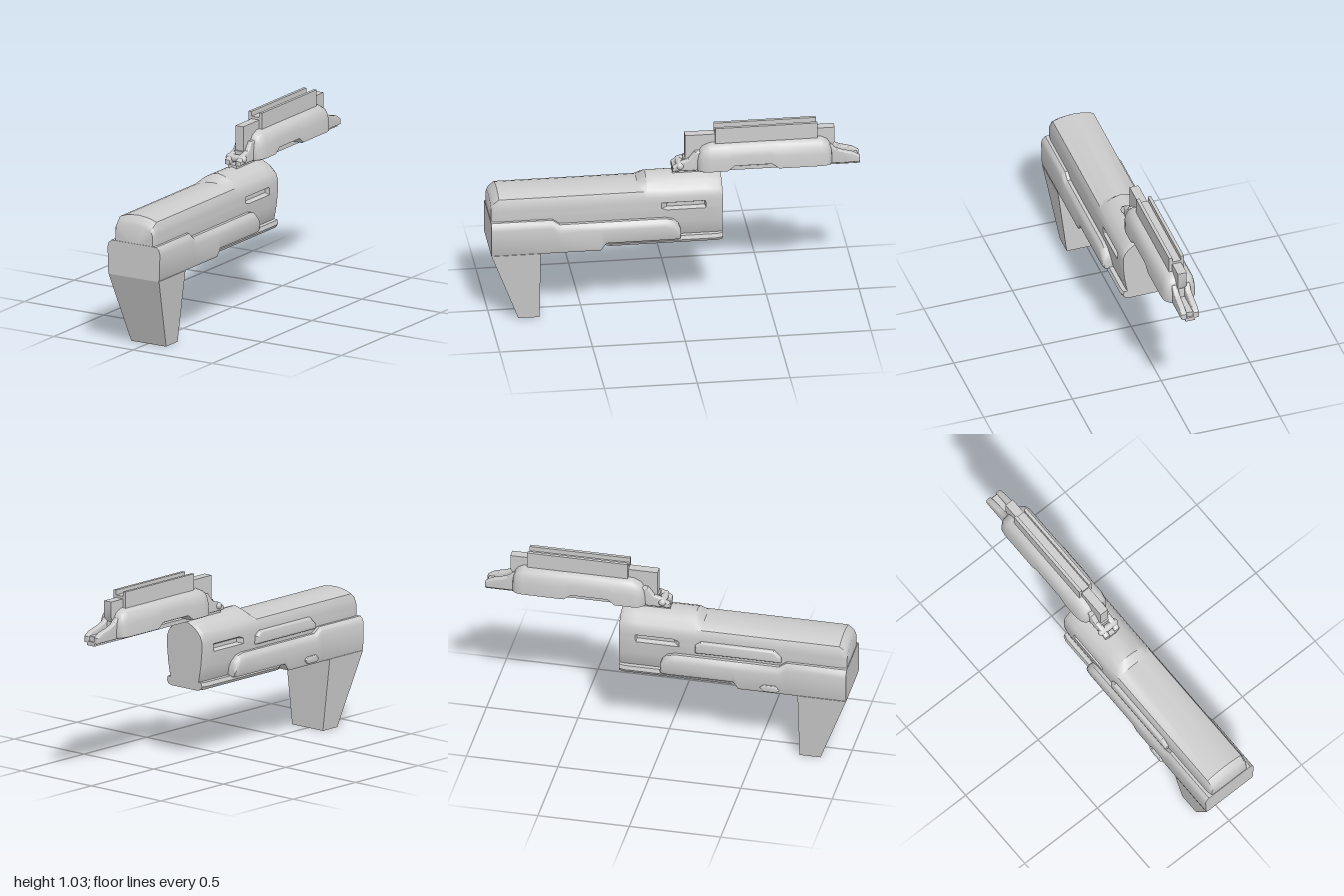
import * as THREE from 'three';
import { toCreasedNormals } from 'three/addons/utils/BufferGeometryUtils.js';

const material = new THREE.MeshStandardMaterial({ color: 0xcccccc });

function part(parent, name, geometry, crease = 0.6) {
  const mesh = new THREE.Mesh(toCreasedNormals(geometry, crease), material);
  mesh.name = name;
  parent.add(mesh);
  return mesh;
}

// Lofts mirrored half sections ([x, y], bottom to top) placed from front to back
function loft(stations) {
  const rings = stations.map(([z, half]) => [
    ...half.map(([x, y]) => [x, y, z]),
    ...half.slice().reverse().map(([x, y]) => [-x, y, z]),
  ]);
  const n = rings[0].length, last = (rings.length - 1) * n;
  const pos = rings.flat(2), index = [];
  for (let i = 0; i < rings.length - 1; i++) {
    for (let j = 0; j < n; j++) {
      const a = i * n + j, b = i * n + (j + 1) % n;
      index.push(a, a + n, b, b, a + n, b + n);
    }
  }
  for (const [start, flip] of [[0, false], [last, true]]) {
    const ring = rings[start / n], ys = ring.map((p) => p[1]);
    const c = pos.length / 3;
    pos.push(0, (Math.min(...ys) + Math.max(...ys)) / 2, ring[0][2]);
    for (let j = 0; j < n; j++) {
      const a = start + j, b = start + (j + 1) % n;
      index.push(c, flip ? b : a, flip ? a : b);
    }
  }
  const g = new THREE.BufferGeometry();
  g.setAttribute('position', new THREE.Float32BufferAttribute(pos, 3));
  g.setIndex(index);
  return g;
}

// Extrudes a side outline ([z, y]) across x, from x0 to x1
function sideExtrude(outline, x0, x1, bevel = 0) {
  const shape = new THREE.Shape(outline.map(([z, y]) => new THREE.Vector2(-z, y)));
  const g = new THREE.ExtrudeGeometry(shape, {
    depth: x1 - x0 - 2 * bevel, bevelEnabled: bevel > 0, bevelSize: bevel,
    bevelThickness: bevel, bevelOffset: -bevel, bevelSegments: 3,
  });
  return g.rotateY(Math.PI / 2).translate(x0 + bevel, 0, 0);
}

function box(x0, x1, y0, y1, z0, z1) {
  return new THREE.BoxGeometry(x1 - x0, y1 - y0, z1 - z0)
    .translate((x0 + x1) / 2, (y0 + y1) / 2, (z0 + z1) / 2);
}

function createBody(parent) {
  // rise: 0 = flat front top, 1 = domed rear top; groove: depth of side slot
  const section = (w, rise, drop = 0, groove = 0) => {
    const mix = (a, b) => a + (b - a) * rise - drop;
    return [
      [0.09 * w, 0.43], [0.105 * w, 0.45], [0.12 * w, 0.53], [0.128 * w, 0.605],
      [0.128 * w - groove, 0.615], [0.128 * w - groove, 0.635], [0.128 * w, 0.648],
      [0.128 * w, 0.68 - drop * 0.8], [0.115 * w, mix(0.715, 0.715)],
      [0.08 * w, mix(0.728, 0.75)], [0.04 * w, mix(0.735, 0.77)], [0.002, mix(0.738, 0.78)],
    ];
  };
  part(parent, 'body', loft([
    [0.997, section(0.92, 0, 0.045)], [0.985, section(0.97, 0, 0.025)],
    [0.955, section(1, 0)], [0.2, section(1, 0)], [0.155, section(1, 1)],
    [0.08, section(1, 1)], [0.05, section(1, 1, 0, 0.025)],
    [-0.155, section(1, 1, 0, 0.025)], [-0.16, section(1, 1)],
    [-0.23, section(1, 1)], [-0.25, section(0.97, 1, 0.012)],
  ]));
  part(parent, 'sidePanel', sideExtrude(
    [[0.64, 0.585], [0.64, 0.615], [0.6, 0.655], [0.2, 0.655], [0.17, 0.63], [0.17, 0.585]],
    -0.15, -0.1, 0.014));
}

function createFrame(parent) {
  const section = (top, bottom, w = 1) => [
    [0.155 * w, bottom], [0.161 * w, bottom + 0.012], [0.165 * w, top - 0.04],
    [0.159 * w, top - 0.016], [0.142 * w, top],
  ];
  part(parent, 'frame', loft([
    [1, section(0.59, 0.4)], [0.67, section(0.59, 0.4)], [0.63, section(0.56, 0.4)],
    [0.41, section(0.56, 0.4)], [0.38, section(0.56, 0.44)], [0.06, section(0.56, 0.44)],
    [0.02, section(0.55, 0.44)], [-0.01, section(0.522, 0.44, 0.98)],
    [-0.02, section(0.495, 0.44, 0.94)],
  ]));

  // Grip narrows toward its foot
  const grip = sideExtrude([[1, 0.402], [0.85, 0], [0.735, 0], [0.735, 0.402]], -1, 1);
  const p = grip.attributes.position;
  for (let i = 0; i < p.count; i++) p.setX(i, p.getX(i) * (0.11 + p.getY(i) * 0.123));
  part(parent, 'grip', grip);

  // Plate under the frame, with a slanted nose
  const plate = (w, bottom = 0.4) => [
    [0.1 * w, bottom], [0.125 * w, bottom + 0.008], [0.135 * w, 0.425], [0.128 * w, 0.447],
  ];
  part(parent, 'bottomPlate', loft([
    [0.41, plate(0.75)], [0.36, plate(1)], [-0.22, plate(1)], [-0.25, plate(0.93)],
  ]));
  part(parent, 'button', sideExtrude(
    [[0.635, 0.425], [0.615, 0.45], [0.55, 0.45], [0.53, 0.435], [0.55, 0.412], [0.62, 0.412]],
    -0.174, -0.14, 0.006));
}

function createUpperUnit(parent) {
  // Rounded housing with a shallow cut along the lower edge
  const section = (w, top, bottom = 0.79) => {
    const y = (t) => bottom + (top - bottom) * t;
    return [
      [0.08 * w, bottom], [0.092 * w, bottom + 0.006], [0.091 * w, y(0.5)],
      [0.083 * w, y(0.72)], [0.068 * w, y(0.9)], [0.045 * w, y(0.98)], [0.02 * w, top],
    ];
  };
  part(parent, 'housing', loft([
    [-0.12, section(0.5, 0.86)], [-0.13, section(0.75, 0.895)], [-0.15, section(0.92, 0.925)],
    [-0.19, section(1, 0.943)], [-0.28, section(1, 0.943)], [-0.32, section(1, 0.943, 0.82)],
    [-0.52, section(1, 0.943, 0.82)], [-0.56, section(1, 0.943)], [-0.79, section(1, 0.943)],
    [-0.825, section(0.92, 0.925)], [-0.842, section(0.75, 0.895)], [-0.85, section(0.5, 0.86)],
  ]), 0.7);

  part(parent, 'baseStrip', box(-0.027, 0.027, 0.77, 0.792, -1, 0.01));
  part(parent, 'spine', sideExtrude(
    [[-0.06, 0.85], [-0.06, 0.99], [-0.865, 0.99], [-0.865, 0.905], [-0.83, 0.85]],
    -0.025, 0.025));

  // Channel rail on top
  part(parent, 'railFloor', box(-0.042, 0.042, 0.93, 1.004, -0.77, -0.22));
  for (const s of [-1, 1]) {
    part(parent, 'railWall', box(s * 0.033 - 0.009, s * 0.033 + 0.009, 0.93, 1.03, -0.77, -0.22));
  }

  // Paired lugs at both ends
  const front = [[0.01, 0.79], [0.01, 0.815], [-0.04, 0.845], [-0.075, 0.855],
    [-0.11, 0.9], [-0.2, 0.9], [-0.2, 0.79]];
  const back = [[-1, 0.785], [-1, 0.818], [-0.965, 0.84], [-0.9, 0.857], [-0.87, 0.87],
    [-0.84, 0.9], [-0.8, 0.9], [-0.8, 0.785]];
  for (const s of [-1, 1]) {
    part(parent, 'frontLug', sideExtrude(front, s * 0.034 - 0.016, s * 0.034 + 0.016, 0.007));
    part(parent, 'backLug', sideExtrude(back, s * 0.034 - 0.016, s * 0.034 + 0.016, 0.007));
  }
  part(parent, 'frontLugCore', box(-0.026, 0.026, 0.78, 0.855, -0.2, -0.05));
  part(parent, 'backLugCore', box(-0.02, 0.02, 0.78, 0.82, -0.99, -0.8));
  const pin = new THREE.CapsuleGeometry(0.02, 0.088, 4, 14).rotateZ(Math.PI / 2);
  part(parent, 'hingePin', pin.translate(0, 0.82, -0.03));
}

export function createModel() {
  const model = new THREE.Group();
  model.name = 'model';
  for (const [name, build] of [['bodyGroup', createBody], ['frameGroup', createFrame],
    ['upperUnit', createUpperUnit]]) {
    const group = new THREE.Group();
    group.name = name;
    group.position.x = 0.004;
    build(group);
    model.add(group);
  }
  return model;
}
